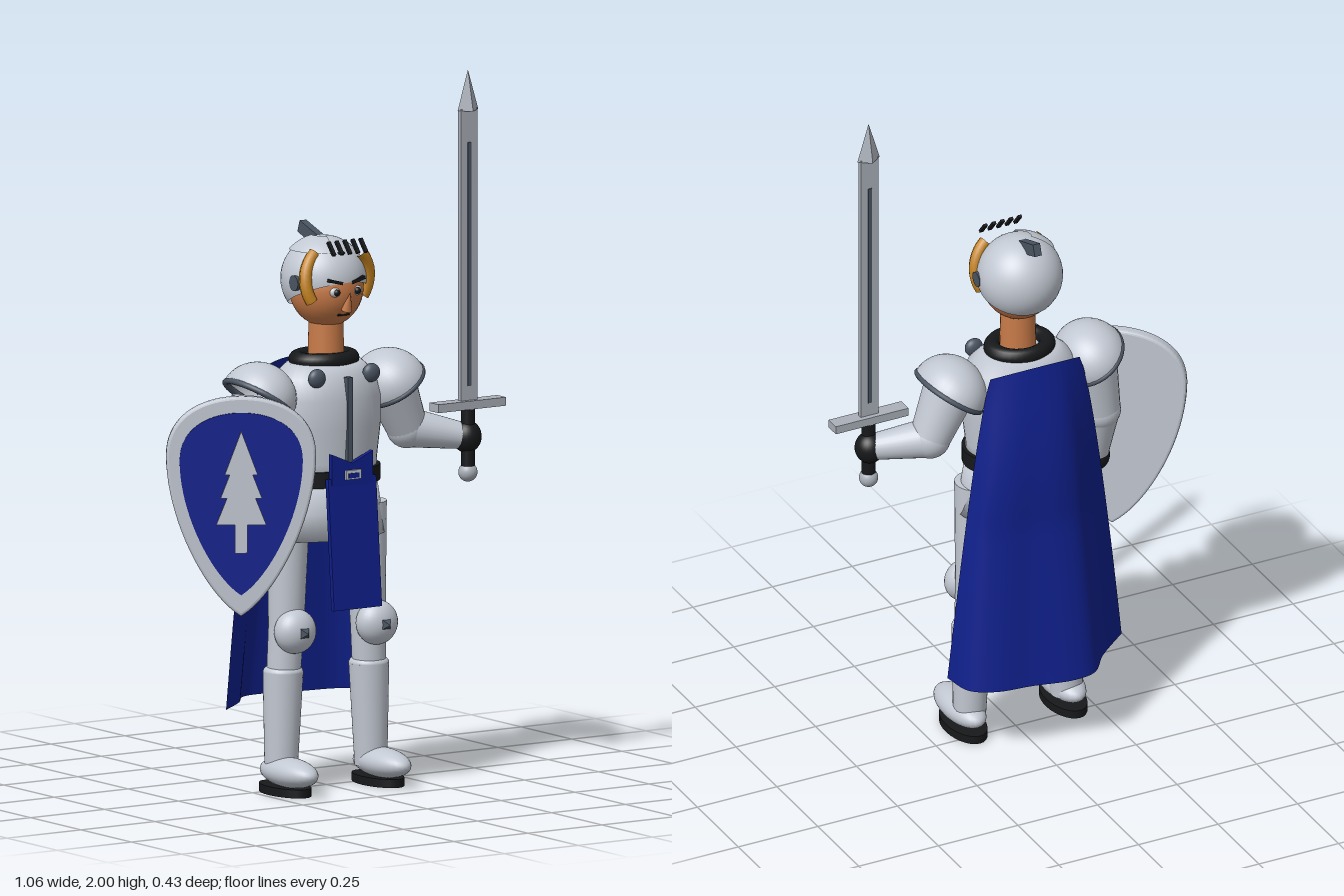
import * as THREE from 'three';

const mat = (color, side = THREE.FrontSide) => new THREE.MeshStandardMaterial({ color, side });
const STEEL = mat(0xc2c8d2), STEEL_OPEN = mat(0xc2c8d2, THREE.DoubleSide), BLADE = mat(0xaab0b9);
const DARK = mat(0x4a5462), BLACK = mat(0x17181a), BLUE = mat(0x10208c), CLOTH = mat(0x10208c, THREE.DoubleSide);
const SKIN = mat(0xc87a48), GOLD = mat(0xc58420), WHITE = mat(0xeeeeee);
const CX = -0.022; // middle of the body
const V = (x, y, z) => new THREE.Vector3(x, y, z);

function add(parent, name, geometry, material, x = 0, y = 0, z = 0) {
  const m = new THREE.Mesh(geometry, material);
  m.name = name;
  m.position.set(x, y, z);
  parent.add(m);
  return m;
}
function group(parent, name, x = 0, y = 0, z = 0) {
  const g = new THREE.Group();
  g.name = name;
  g.position.set(x, y, z);
  parent.add(g);
  return g;
}
const box = (w, h, d) => new THREE.BoxGeometry(w, h, d);
const ball = (rx, ry = rx, rz = rx) => new THREE.SphereGeometry(1, 28, 20).scale(rx, ry, rz);
const tube = (rTop, rBottom, h, n = 28) => new THREE.CylinderGeometry(rTop, rBottom, h, n);
const lathe = (pts, depth) =>
  new THREE.LatheGeometry(pts.map(p => new THREE.Vector2(...p)), 40).scale(1, 1, depth);

// Tapered limb between two points
function limb(parent, name, a, b, ra, rb, material) {
  const m = add(parent, name, tube(rb, ra, a.distanceTo(b)), material);
  m.position.copy(a).lerp(b, 0.5);
  m.quaternion.setFromUnitVectors(V(0, 1, 0), b.clone().sub(a).normalize());
  return m;
}

function buildHead(root) {
  const h = group(root, 'head', CX, 0, 0);
  add(h, 'neck', tube(0.048, 0.052, 0.16), SKIN, 0, 1.27, 0.03);
  add(h, 'face', ball(0.103, 0.112, 0.11), SKIN, 0, 1.417, 0.03);
  const nose = add(h, 'nose', new THREE.ConeGeometry(0.016, 0.055, 12), SKIN, 0, 1.39, 0.142);
  nose.rotation.x = 0.35;
  add(h, 'mouth', box(0.038, 0.007, 0.012), BLACK, 0, 1.35, 0.112);
  for (const s of [-1, 1]) {
    add(h, 'eyeWhite', ball(0.017, 0.014, 0.01), WHITE, s * 0.036, 1.417, 0.129);
    add(h, 'pupil', ball(0.01), BLACK, s * 0.035, 1.417, 0.135);
    const brow = add(h, 'eyebrow', box(0.045, 0.009, 0.014), BLACK, s * 0.038, 1.447, 0.132);
    brow.rotation.z = s * 0.25;
    // hair lock beside the face
    const lock = add(h, 'hairLock', new THREE.TorusGeometry(0.106, 0.018, 8, 10, 1.4), GOLD, 0, 1.44, 0.085);
    lock.rotation.set(0.2, s > 0 ? 0 : Math.PI, 0);
    if (s < 0) lock.rotation.x = -0.2;
    lock.geometry.rotateZ(-0.5);
    const pivot = add(h, 'helmetPivot', tube(0.022, 0.022, 0.012, 16), DARK, s * 0.116, 1.44, 0.048);
    pivot.rotation.z = Math.PI / 2;
  }
  // open-faced helmet with raised visor, crest and slits
  const helmet = add(h, 'helmet', new THREE.SphereGeometry(0.121, 36, 22, 0, Math.PI * 2, 0, 1.95), STEEL_OPEN, 0, 1.44, 0.018);
  helmet.rotation.x = -0.4;
  add(h, 'visor', new THREE.SphereGeometry(0.127, 18, 8, -0.5, 1.8, 0.25, 0.6), STEEL_OPEN, 0, 1.44, 0.015);
  add(h, 'crest', box(0.022, 0.035, 0.205), DARK, 0, 1.54, 0.007).rotation.x = 0.33;
  for (let i = -2; i <= 2; i++)
    add(h, 'visorSlit', box(0.011, 0.045, 0.008), BLACK, i * 0.027, 1.543, 0.136).rotation.x = -0.7;
}

function buildTorso(root) {
  const t = group(root, 'torso', CX, 0, 0.02);
  add(t, 'breastplate', lathe([[0, 0.87], [0.158, 0.87], [0.16, 0.93], [0.172, 1.03], [0.172, 1.11],
    [0.155, 1.17], [0.115, 1.205], [0, 1.215]], 0.74), STEEL);
  add(t, 'belt', tube(0.17, 0.17, 0.045, 40).scale(1, 1, 0.75), BLACK, 0, 0.888, 0);
  add(t, 'armourSkirt', lathe([[0, 0.715], [0.187, 0.715], [0.176, 0.79], [0.163, 0.87], [0, 0.87]], 0.68), STEEL);
  const collar = add(t, 'collar', new THREE.TorusGeometry(0.08, 0.024, 14, 36), BLACK, 0, 1.213, 0);
  collar.rotation.x = Math.PI / 2;
  collar.scale.y = 0.85;
  add(t, 'chestRidge', box(0.018, 0.245, 0.02), DARK, 0, 1.053, 0.122);
  for (const s of [-1, 1])
    add(t, 'chestRivet', ball(0.027, 0.027, 0.018), DARK, s * 0.092, 1.177, 0.1);

  // cloth panel with notched top and buckle
  const panel = add(t, 'tabard', box(0.162, 0.37, 0.014), BLUE, 0, 0.71, 0.148);
  panel.rotation.x = -0.08;
  const top = new THREE.Shape();
  [[-0.07, 0.83], [0.07, 0.83], [0.07, 0.965], [0, 0.935], [-0.07, 0.965]]
    .forEach((p, i) => (i ? top.lineTo(...p) : top.moveTo(...p)));
  add(t, 'tabardTop', new THREE.ExtrudeGeometry(top, { depth: 0.015, bevelEnabled: false }), BLUE, 0, 0, 0.127);
  add(t, 'buckle', box(0.05, 0.026, 0.01), STEEL, 0, 0.903, 0.144);
  add(t, 'buckleCentre', box(0.036, 0.014, 0.012), BLUE, 0, 0.901, 0.145);
}

function buildLeg(root, s) {
  const g = group(root, s > 0 ? 'leftLeg' : 'rightLeg', CX, 0, 0);
  limb(g, 'thigh', V(s * 0.138, 0.46, 0.035), V(s * 0.13, 0.8, 0.035), 0.05, 0.06, STEEL);
  add(g, 'kneeGuard', ball(0.063, 0.063, 0.05), STEEL, s * 0.138, 0.46, 0.08);
  const spike = add(g, 'kneeSpike', new THREE.ConeGeometry(0.03, 0.03, 4).rotateY(Math.PI / 4).rotateX(Math.PI / 2),
    DARK, s * 0.138, 0.46, 0.132);
  spike.material = mat(0x4a5462);
  spike.material.flatShading = true;
  limb(g, 'shin', V(s * 0.152, 0.05, 0.03), V(s * 0.145, 0.34, 0.03), 0.046, 0.057, STEEL);
  add(g, 'shinTop', ball(0.057, 0.025, 0.057), STEEL, s * 0.145, 0.34, 0.03);
  limb(g, 'calfJoint', V(s * 0.145, 0.33, 0.032), V(s * 0.138, 0.47, 0.035), 0.048, 0.05, STEEL);
  add(g, 'shoe', ball(0.055, 0.042, 0.122), STEEL, s * 0.157, 0.062, 0.078);
  add(g, 'sole', tube(0.055, 0.055, 0.024).scale(1, 1, 1.87), BLACK, s * 0.157, 0.012, 0.058);
}

function buildArm(root, s, elbow, hand) {
  const g = group(root, s > 0 ? 'leftArm' : 'rightArm');
  const shoulder = V(CX + s * 0.222, 1.12, 0.02);
  limb(g, 'upperArm', shoulder, elbow, 0.075, 0.058, STEEL);
  add(g, 'elbow', ball(0.059), STEEL, ...elbow.toArray());
  limb(g, 'forearm', elbow, hand, 0.057, 0.036, STEEL);
  add(g, 'glove', ball(0.042, 0.046, 0.042), BLACK, ...hand.toArray());
  // domed shoulder plate with dark rim
  const p = group(g, 'shoulderPlate', ...shoulder.toArray());
  p.rotation.z = s * 0.6;
  p.scale.z = 1.17;
  add(p, 'dome', new THREE.SphereGeometry(0.102, 32, 14, 0, Math.PI * 2, 0, Math.PI / 2), STEEL_OPEN);
  add(p, 'rim', new THREE.TorusGeometry(0.096, 0.009, 10, 36).rotateX(Math.PI / 2), DARK);
}

function buildSword(root) {
  const g = group(root, 'sword', 0.413, 0, 0.096);
  add(g, 'pommel', ball(0.027), BLADE, 0, 0.86, 0);
  add(g, 'grip', tube(0.02, 0.02, 0.17, 16), BLACK, 0, 0.96, 0);
  add(g, 'guard', box(0.228, 0.024, 0.044), BLADE, 0, 1.052, 0);
  add(g, 'blade', box(0.056, 0.83, 0.015), BLADE, 0, 1.475, 0);
  add(g, 'fuller', box(0.012, 0.69, 0.02), DARK, 0, 1.45, 0);
  const tip = add(g, 'bladeTip', new THREE.ConeGeometry(0.035, 0.115, 4).scale(1, 1, 0.75), mat(0xaab0b9), 0, 1.9425, 0);
  tip.material.flatShading = true;
}

function shieldShape(k) {
  const s = new THREE.Shape();
  s.moveTo(0, -0.315 * k);
  s.bezierCurveTo(0.1 * k, -0.25 * k, 0.21 * k, -0.03 * k, 0.21 * k, 0.15 * k);
  s.bezierCurveTo(0.21 * k, 0.27 * k, 0.1 * k, 0.315 * k, 0, 0.315 * k);
  s.bezierCurveTo(-0.1 * k, 0.315 * k, -0.21 * k, 0.27 * k, -0.21 * k, 0.15 * k);
  s.bezierCurveTo(-0.21 * k, -0.03 * k, -0.1 * k, -0.25 * k, 0, -0.315 * k);
  return s;
}

function buildShield(root) {
  const g = group(root, 'shield', -0.35, 0.835, 0.09);
  g.rotation.y = -0.57;
  const plate = new THREE.ExtrudeGeometry(shieldShape(0.96),
    { depth: 0.016, bevelSize: 0.008, bevelThickness: 0.01, bevelSegments: 3, curveSegments: 20 });
  add(g, 'shieldPlate', plate, STEEL, 0, 0, -0.008);
  add(g, 'shieldField', new THREE.ExtrudeGeometry(shieldShape(0.82),
    { depth: 0.006, bevelEnabled: false, curveSegments: 20 }), BLUE, 0, 0.008, 0.016);
  // three-tiered tree emblem
  const half = [[0.018, -0.13], [0.018, -0.05], [0.07, -0.05], [0.04, 0.025], [0.058, 0.025],
    [0.032, 0.092], [0.046, 0.092], [0, 0.215]];
  const pts = [...half, ...half.slice(0, -1).reverse().map(([x, y]) => [-x, y])];
  const tree = new THREE.Shape(pts.map(p => new THREE.Vector2(...p)));
  add(g, 'treeEmblem', new THREE.ExtrudeGeometry(tree, { depth: 0.006, bevelEnabled: false }), STEEL, 0, 0, 0.022);
}

// Cape: a sheet blended from the shoulder line to a wavy hem
function buildCape(root) {
  const hem = new THREE.CatmullRomCurve3([[-0.312, -0.04], [-0.21, -0.125], [-0.145, -0.2], [-0.075, -0.212],
    [0.045, -0.188], [0.15, -0.172], [0.215, -0.13], [0.235, -0.04]].map(([x, z]) => V(x, 0.235, z)));
  const geo = new THREE.PlaneGeometry(1, 1, 48, 24);
  const pos = geo.attributes.position;
  for (let i = 0; i < pos.count; i++) {
    const u = pos.getX(i) + 0.5, v = 0.5 - pos.getY(i), c = 2 * u - 1;
    const a = V(CX + c * 0.14, 1.205 - 0.02 * c * c, -0.105 + 0.03 * c * c);
    const b = hem.getPoint(u);
    const x = THREE.MathUtils.lerp(a.x, b.x, Math.pow(v, 0.75));
    const z = THREE.MathUtils.lerp(a.z, b.z, v) - 0.02 * Math.sin(Math.PI * Math.min(1, v * 2)) * (1 - c * c);
    pos.setXYZ(i, x, THREE.MathUtils.lerp(a.y, b.y, v), z);
  }
  geo.computeVertexNormals();
  add(root, 'cape', geo, CLOTH);
}

export function createModel() {
  const root = new THREE.Group();
  root.name = 'knight';
  buildHead(root);
  buildTorso(root);
  for (const s of [-1, 1]) buildLeg(root, s);
  buildArm(root, 1, V(0.262, 0.99, 0.015), V(0.413, 0.96, 0.09));
  buildArm(root, -1, V(-0.275, 0.94, 0.02), V(-0.28, 0.77, 0.06));
  buildSword(root);
  buildShield(root);
  buildCape(root);
  return root;
}
